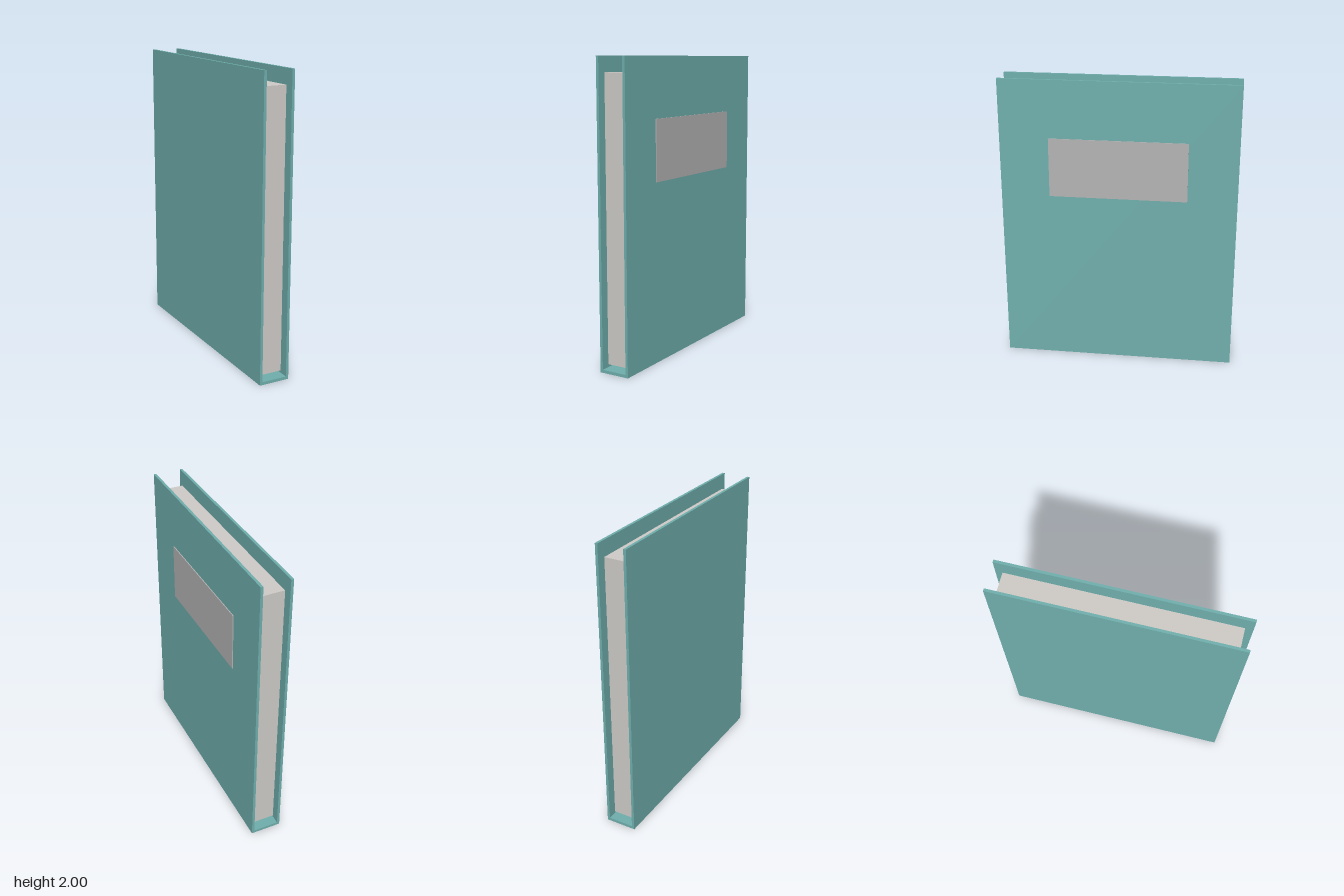
import * as THREE from 'three';

export function createModel() {
  const book = new THREE.Group();
  book.name = 'book';

  const material = (name, color) => {
    const m = new THREE.MeshStandardMaterial({ color });
    m.name = name;
    return m;
  };
  const teal = material('teal cover', 0x70b0ae);
  const paper = material('warm paper', 0xcfccc8);
  const grey = material('grey label', 0xb5b5b5);

  // Box given by its lower and upper limits on each axis
  const block = (name, mat, [x0, x1], [y0, y1], [z0, z1]) => {
    const mesh = new THREE.Mesh(new THREE.BoxGeometry(x1 - x0, y1 - y0, z1 - z0), mat);
    mesh.position.set((x0 + x1) / 2, (y0 + y1) / 2, (z0 + z1) / 2);
    mesh.name = name;
    book.add(mesh);
  };

  const left = 0.103, right = -0.109, board = 0.018;
  const depth = [-0.8, 0.8];

  // Two cover boards joined by the spine the book stands on
  block('leftCover', teal, [left - board, left], [0, 2], depth);
  block('rightCover', teal, [right, right + board], [0, 2], depth);
  block('spine', teal, [right + board, left - board], [0, 0.02], depth);

  // Page block, set in from the cover edges and clear of the spine
  block('pages', paper, [-0.085, 0.077], [0.043, 1.9], [-0.748, 0.748]);

  // Blank title plate on the left cover
  block('coverLabel', grey, [left, left + 0.006], [1.203, 1.607], [-0.467, 0.467]);

  return book;
}
